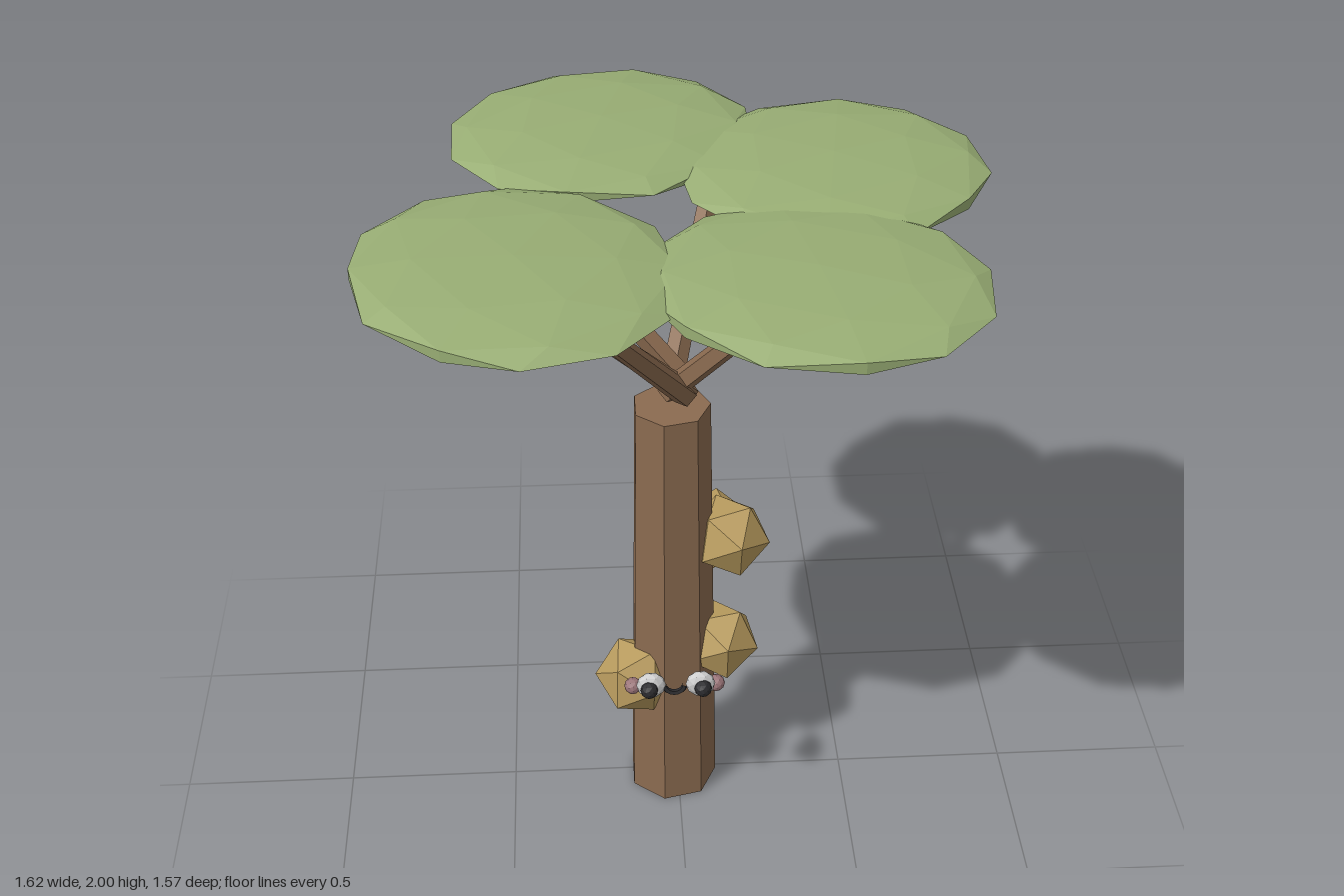
import * as THREE from 'three';

const material = (color) => new THREE.MeshStandardMaterial({ color, flatShading: true });
const BARK = material(0x8b6b50);
const LEAF = material(0x98ad74);
const KNOB = material(0xb89b5e);
const EYE = material(0xcccccc);
const DARK = material(0x2b2b2e);
const BLUSH = material(0x9a7478);

export function createModel() {
  const tree = new THREE.Group();
  tree.name = 'tree';

  const add = (name, geometry, mat, x, y, z) => {
    const mesh = new THREE.Mesh(geometry, mat);
    mesh.name = name;
    mesh.position.set(x, y, z);
    tree.add(mesh);
    return mesh;
  };

  // Tapered seven-sided trunk
  add('trunk', new THREE.CylinderGeometry(0.108, 0.133, 1.355, 7, 1, false, Math.PI / 2),
    BARK, -0.017, 0.6775, 0.012);

  // Branches fan out from a loose knot above the trunk: tip x, tip z
  const up = new THREE.Vector3(0, 1, 0);
  [[-0.31, -0.14], [0.11, -0.375], [0.265, 0.215], [-0.19, 0.365], [-0.26, 0.28]].forEach(([x, z]) => {
    const base = new THREE.Vector3(-0.1 * x, 1.405, 0.12 * z);
    const tip = new THREE.Vector3(x, 1.79, z);
    const dir = tip.clone().sub(base);
    const mid = base.clone().add(tip).multiplyScalar(0.5);
    const branch = add('branch', new THREE.CylinderGeometry(0.028, 0.034, dir.length(), 5),
      BARK, mid.x, mid.y, mid.z);
    branch.quaternion.setFromUnitVectors(up, dir.normalize());
  });

  // Flattened leaf pads: x, z, radius x, radius z, turn
  [
    [-0.18, -0.418, 0.42, 0.385, 0.33],
    [0.417, -0.178, 0.414, 0.4, 0.42],
    [-0.405, 0.32, 0.445, 0.405, -1.02],
    [0.315, 0.405, 0.43, 0.395, -0.42],
  ].forEach(([x, z, rx, rz, turn]) => {
    const pad = add('leafPad', new THREE.IcosahedronGeometry(1, 1), LEAF, x, 1.95, z);
    pad.scale.set(rx, 0.05, rz);
    pad.rotation.y = turn;
  });

  // Knobs growing on the trunk: x, y, z, turn
  [
    [0.145, 0.895, 0.0, 0.3],
    [0.11, 0.83, -0.115, 0.9],
    [0.12, 0.525, 0.015, 0.2],
    [0.07, 0.395, -0.115, 0.8],
    [-0.125, 0.445, 0.07, 0.5],
  ].forEach(([x, y, z, turn]) => {
    const knob = add('knob', new THREE.IcosahedronGeometry(0.12, 0), KNOB, x, y, z);
    knob.rotation.set(turn, turn, 0);
  });

  // Face: eyes, pupils and cheeks mirrored about the trunk's middle
  const faceX = -0.018;
  [-1, 1].forEach((side) => {
    const eye = add('eye', new THREE.IcosahedronGeometry(0.042, 1), EYE, faceX + side * 0.07, 0.565, 0.255);
    eye.scale.z = 0.6;
    add('pupil', new THREE.IcosahedronGeometry(0.025, 1), DARK, faceX + side * 0.076, 0.568, 0.28);
    add('cheek', new THREE.IcosahedronGeometry(0.025, 1), BLUSH, faceX + side * 0.12, 0.505, 0.187);
  });

  // Smiling mouth
  const mouth = add('mouth', new THREE.TorusGeometry(0.03, 0.009, 5, 8, Math.PI), DARK, faceX, 0.497, 0.18);
  mouth.rotation.z = Math.PI;

  return tree;
}
